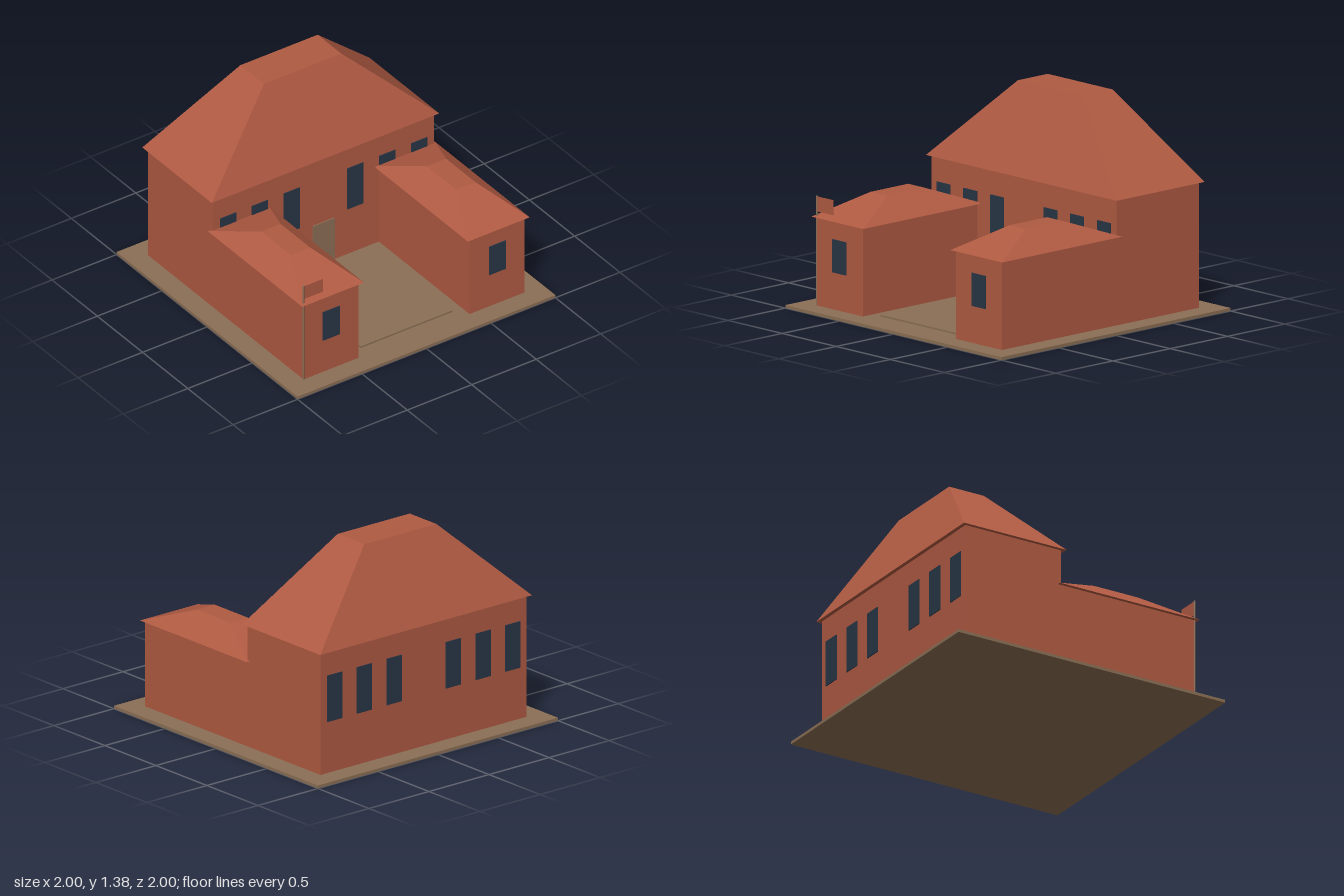
import * as THREE from 'three';

export function createModel() {
  const model = new THREE.Group();
  model.name = 'house';

  const mat = (name, color, side = THREE.FrontSide) => {
    const m = new THREE.MeshStandardMaterial({ color, side });
    m.name = name;
    return m;
  };
  const brick = mat('brick red', 0xb05a42);
  const earth = mat('earth tan', 0x8b6f55);
  const glass = mat('dark glass', 0x283646);

  const add = (name, geometry, material) => {
    const mesh = new THREE.Mesh(geometry, material);
    mesh.name = name;
    model.add(mesh);
    return mesh;
  };

  // Box given by its limits on each axis
  const boxGeo = ([x0, x1], [y0, y1], [z0, z1]) =>
    new THREE.BoxGeometry(x1 - x0, y1 - y0, z1 - z0)
      .translate((x0 + x1) / 2, (y0 + y1) / 2, (z0 + z1) / 2);
  const box = (name, x, y, z, material) => add(name, boxGeo(x, y, z), material);

  // Hipped roof with a flat top: a box whose upper corners are drawn inwards
  const hipRoof = (name, x, y, z, topX, topZ) => {
    const g = boxGeo(x, y, z);
    const p = g.attributes.position;
    const midX = (x[0] + x[1]) / 2, midZ = (z[0] + z[1]) / 2, midY = (y[0] + y[1]) / 2;
    for (let i = 0; i < p.count; i++) {
      if (p.getY(i) < midY) continue;
      p.setX(i, topX[p.getX(i) < midX ? 0 : 1]);
      p.setZ(i, topZ[p.getZ(i) < midZ ? 0 : 1]);
    }
    g.computeVertexNormals();
    return add(name, g, brick);
  };

  // Ground and courtyard
  box('ground', [-1, 1], [0, 0.02], [-1, 1], earth);
  box('courtyard', [-0.355, 0.355], [0.02, 0.032], [-0.075, 0.78], earth);

  // Main block
  box('mainWalls', [-0.857, 0.857], [0.02, 0.84], [-0.857, -0.14], brick);
  hipRoof('mainRoof', [-0.882, 0.882], [0.84, 1.385], [-0.884, -0.116], [-0.3, 0.3], [-0.63, -0.37]);
  box('door', [-0.083, 0.083], [0.02, 0.34], [-0.14, -0.132], earth);

  // Tall windows, six on the front and six on the back
  for (const side of [-1, 1]) {
    for (let i = 1; i <= 3; i++) {
      const x = side * 0.247 * i;
      const xs = [x - 0.062, x + 0.062];
      box('frontWindow', xs, [0.365, 0.677], [-0.14, -0.134], glass);
      box('backWindow', xs, [0.365, 0.677], [-0.863, -0.857], glass);
    }
  }

  // Two mirrored wings
  for (const side of [-1, 1]) {
    const mx = (a, b) => (side > 0 ? [a, b] : [-b, -a]);
    box('wingWalls', mx(0.43, 0.857), [0.02, 0.6], [-0.14, 0.862], brick);
    hipRoof('wingRoof', mx(0.403, 0.882), [0.598, 0.73], [-0.165, 0.884], mx(0.567, 0.717), [0.195, 0.522]);
    box('wingWindow', mx(0.58, 0.708), [0.262, 0.478], [0.862, 0.868], glass);
  }

  // Flagpole at the corner of the right wing
  add('flagpole', new THREE.CylinderGeometry(0.006, 0.006, 0.715, 8).translate(-0.857, 0.3775, 0.86), earth);
  box('flag', [-0.855, -0.705], [0.633, 0.73], [0.856, 0.86], brick);

  return model;
}
